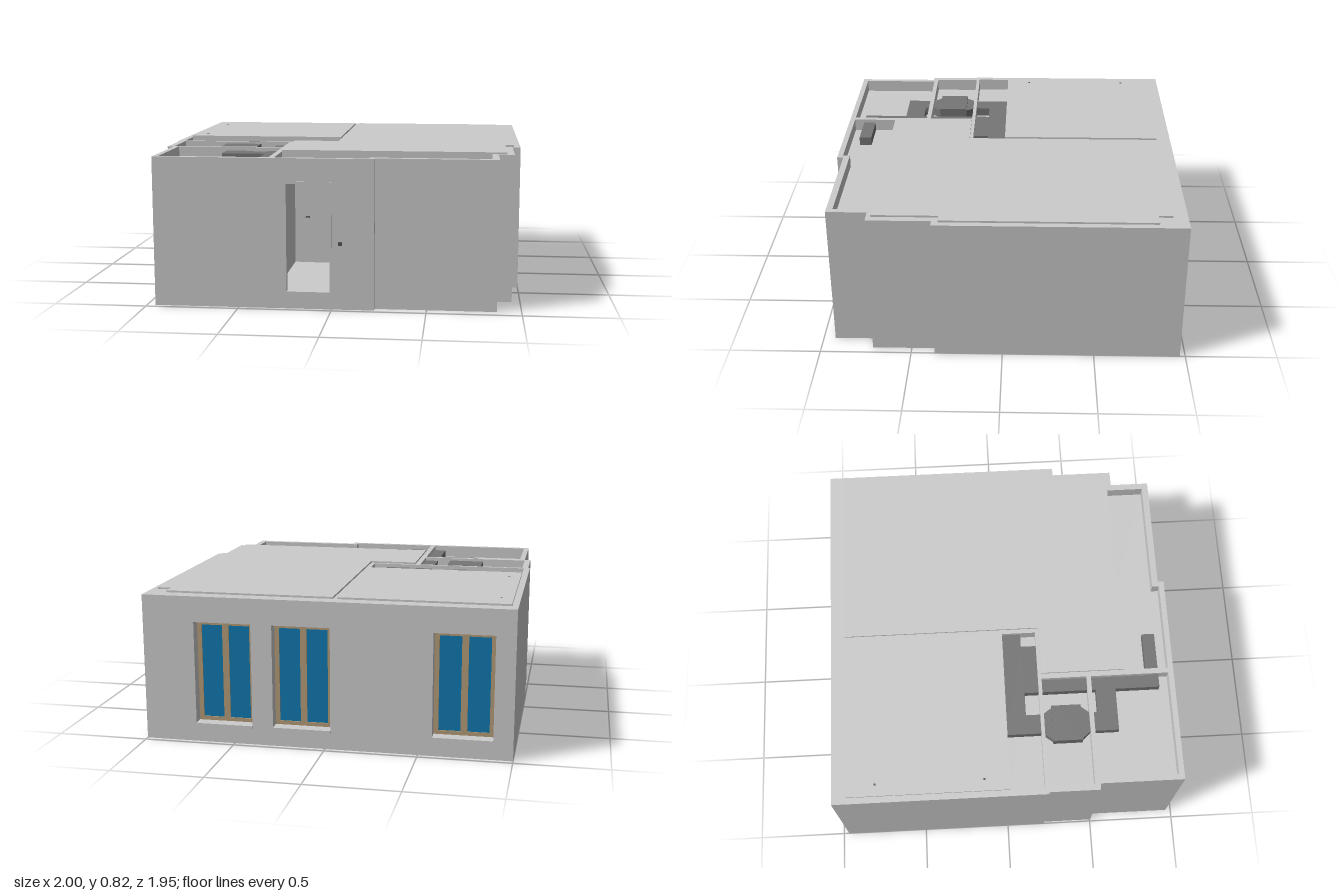
import * as THREE from 'three';

export function createModel() {
  const model = new THREE.Group();
  model.name = 'apartment';
  const material = (name, color) => {
    const m = new THREE.MeshStandardMaterial({ color });
    m.name = name;
    return m;
  };
  const plaster = material('plaster grey', 0xcccccc);
  const metal = material('duct grey', 0x767676);
  const wood = material('window wood', 0xb59c78);
  const glass = material('blue glass', 0x0f78b0);
  const dark = material('dark fitting', 0x555555);

  const add = (name, geometry, mat, parent = model) => {
    const mesh = new THREE.Mesh(geometry, mat);
    mesh.name = name;
    parent.add(mesh);
    return mesh;
  };
  // box from minimum and maximum along each axis
  const box = (name, x0, x1, y0, y1, z0, z1, mat, parent) => {
    const g = new THREE.BoxGeometry(x1 - x0, y1 - y0, z1 - z0);
    g.translate((x0 + x1) / 2, (y0 + y1) / 2, (z0 + z1) / 2);
    return add(name, g, mat, parent);
  };
  const points = (list) => list.map(([a, b]) => new THREE.Vector2(a, b));
  const rect = (a0, a1, b0, b1) => [[a0, b0], [a1, b0], [a1, b1], [a0, b1]];
  const extrude = (outline, holes, depth) => {
    const shape = new THREE.Shape(points(outline));
    holes.forEach((h) => shape.holes.push(new THREE.Path(points(h))));
    return new THREE.ExtrudeGeometry(shape, { depth, bevelEnabled: false });
  };
  // floor-plan outline (x, z) raised from y0 to y1
  const plan = (name, outline, y0, y1, mat, holes = []) => {
    const g = extrude(outline, holes, y1 - y0);
    g.rotateX(Math.PI / 2).translate(0, y1, 0);
    return add(name, g, mat);
  };

  const floorY = 0.09, wallTop = 0.805, roofTop = 0.815, dropped = 0.735, headY = 0.67;

  // base slab with the full stepped footprint
  plan('floorSlab', [
    [-1, -0.97], [1, -0.97], [1, 0.37], [0.955, 0.37], [0.955, 0.715], [0.87, 0.715],
    [0.87, 0.935], [0.225, 0.935], [0.225, 0.97], [-0.955, 0.97], [-0.955, 0.505],
    [-0.99, 0.505], [-0.99, 0.22], [-1, 0.22],
  ], 0, floorY, plaster);

  // left outer wall joined with the inner partitions
  plan('leftWallsAndPartitions', [
    [-1, -0.89], [-0.965, -0.89], [-0.965, 0.2], [-0.055, 0.2], [-0.055, -0.89], [-0.03, -0.89],
    [-0.03, 0.22], [-0.305, 0.22], [-0.305, 0.94], [-0.335, 0.94], [-0.335, 0.5], [-0.925, 0.5],
    [-0.925, 0.94], [-0.955, 0.94], [-0.955, 0.505], [-0.99, 0.505], [-0.99, 0.22], [-1, 0.22],
  ], floorY, wallTop, plaster, [rect(-0.955, -0.335, 0.22, 0.475)]);

  // right outer wall with its steps
  plan('rightWall', [
    [1, -0.89], [1, 0.37], [0.955, 0.37], [0.955, 0.715], [0.87, 0.715], [0.87, 0.935],
    [0.225, 0.935], [0.225, 0.94], [0.195, 0.94], [0.195, 0.9], [0.835, 0.9], [0.835, 0.69],
    [0.915, 0.69], [0.915, 0.335], [0.965, 0.335], [0.965, -0.815], [0.89, -0.815], [0.89, -0.89],
  ], floorY, wallTop, plaster);

  // front wall notched for the doorway
  const frontWall = extrude([
    [-0.955, floorY], [-0.24, floorY], [-0.24, headY], [-0.01, headY], [-0.01, floorY],
    [0.225, floorY], [0.225, wallTop], [-0.955, wallTop],
  ], [], 0.03);
  add('frontWall', frontWall.translate(0, 0, 0.94), plaster);

  // back wall with three window openings
  const windows = [[-0.895, -0.575], [-0.03, 0.285], [0.4, 0.715]];
  const sillY = 0.1, winTop = 0.665;
  const backWall = extrude(rect(-1, 1, floorY, wallTop),
    windows.map(([a, b]) => rect(a, b, sillY, winTop)), 0.08);
  add('backWall', backWall.translate(0, 0, -0.97), plaster);

  // windows: wooden frame, two panes and a sill
  windows.forEach(([a, b]) => {
    const win = new THREE.Group();
    win.name = 'window';
    model.add(win);
    const mid = (a + b) / 2, rim = 0.025, bar = 0.018;
    const panes = [[a + rim, mid - bar], [mid + bar, b - rim]];
    const frame = extrude(rect(a, b, sillY, winTop),
      panes.map(([p, q]) => rect(p, q, sillY + rim, winTop - rim)), 0.02);
    add('windowFrame', frame.translate(0, 0, -0.91), wood, win);
    panes.forEach(([p, q]) =>
      box('windowPane', p, q, sillY + rim, winTop - rim, -0.904, -0.898, glass, win));
    box('windowSill', a, b, sillY - 0.012, sillY + 0.004, -0.977, -0.91, plaster, win);
  });

  // high ceilings over the main rooms
  plan('bedroomCeiling', rect(-0.965, -0.055, -0.89, 0.01), 0.73, roofTop, plaster);
  plan('livingRoomCeiling', [
    [-0.03, -0.89], [0.89, -0.89], [0.89, -0.815], [0.965, -0.815], [0.965, 0.335],
    [0.915, 0.335], [0.915, 0.69], [-0.305, 0.69], [-0.305, 0.22], [-0.03, 0.22],
  ], 0.73, roofTop, plaster);

  // dropped ceilings that carry the ducts
  [
    [-0.965, -0.055, 0.01, 0.2], [-0.955, -0.335, 0.22, 0.475], [-0.925, -0.335, 0.5, 0.94],
    [-0.305, 0.195, 0.69, 0.94], [0.195, 0.835, 0.69, 0.9],
  ].forEach((r) => plan('droppedCeiling', rect(...r), dropped - 0.015, dropped, plaster));

  // ventilation ducts
  const ductTop = 0.785;
  plan('rearDuct', [
    [-0.65, 0.01], [-0.055, 0.01], [-0.055, 0.115], [-0.13, 0.115], [-0.13, 0.2], [-0.41, 0.2],
    [-0.41, 0.12], [-0.54, 0.12], [-0.54, 0.2], [-0.65, 0.2],
  ], dropped, ductTop, metal);
  plan('frontDuct', [
    [-0.65, 0.5], [-0.54, 0.5], [-0.54, 0.523], [-0.41, 0.523], [-0.41, 0.2], [-0.338, 0.2],
    [-0.338, 0.815], [-0.09, 0.815], [-0.09, 0.885], [-0.41, 0.885], [-0.41, 0.635], [-0.65, 0.635],
  ], dropped, ductTop, metal);

  // air handling unit with tapered necks
  box('airUnit', -0.7, -0.495, dropped, 0.798, 0.265, 0.43, metal);
  plan('airUnitRearNeck', [[-0.655, 0.22], [-0.535, 0.22], [-0.505, 0.265], [-0.69, 0.265]],
    dropped, ductTop, metal);
  plan('airUnitFrontNeck', [[-0.69, 0.43], [-0.505, 0.43], [-0.54, 0.475], [-0.65, 0.475]],
    dropped, ductTop, metal);

  // small ceiling fittings
  [[-0.9, -0.73], [-0.9, -0.13]].forEach(([x, z]) =>
    box('ceilingFitting', x - 0.006, x + 0.006, roofTop, roofTop + 0.002, z - 0.006, z + 0.006, dark));

  // entrance trim and bell
  const trim = extrude([
    [-0.252, floorY], [-0.24, floorY], [-0.24, headY], [-0.01, headY], [-0.01, floorY],
    [0.002, floorY], [0.002, headY + 0.012], [-0.252, headY + 0.012],
  ], [], 0.004);
  add('doorTrim', trim.translate(0, 0, 0.97), plaster);
  box('doorThreshold', -0.245, -0.005, floorY - 0.006, floorY + 0.003, 0.94, 0.975, plaster);
  box('doorBell', 0.036, 0.056, 0.345, 0.365, 0.97, 0.977, dark);

  // inner door on the hall's far wall
  box('innerDoor', -0.28, -0.08, floorY, headY, 0.22, 0.23, plaster);
  box('innerDoorHandle', -0.24, -0.215, 0.36, 0.368, 0.23, 0.24, dark);

  return model;
}
